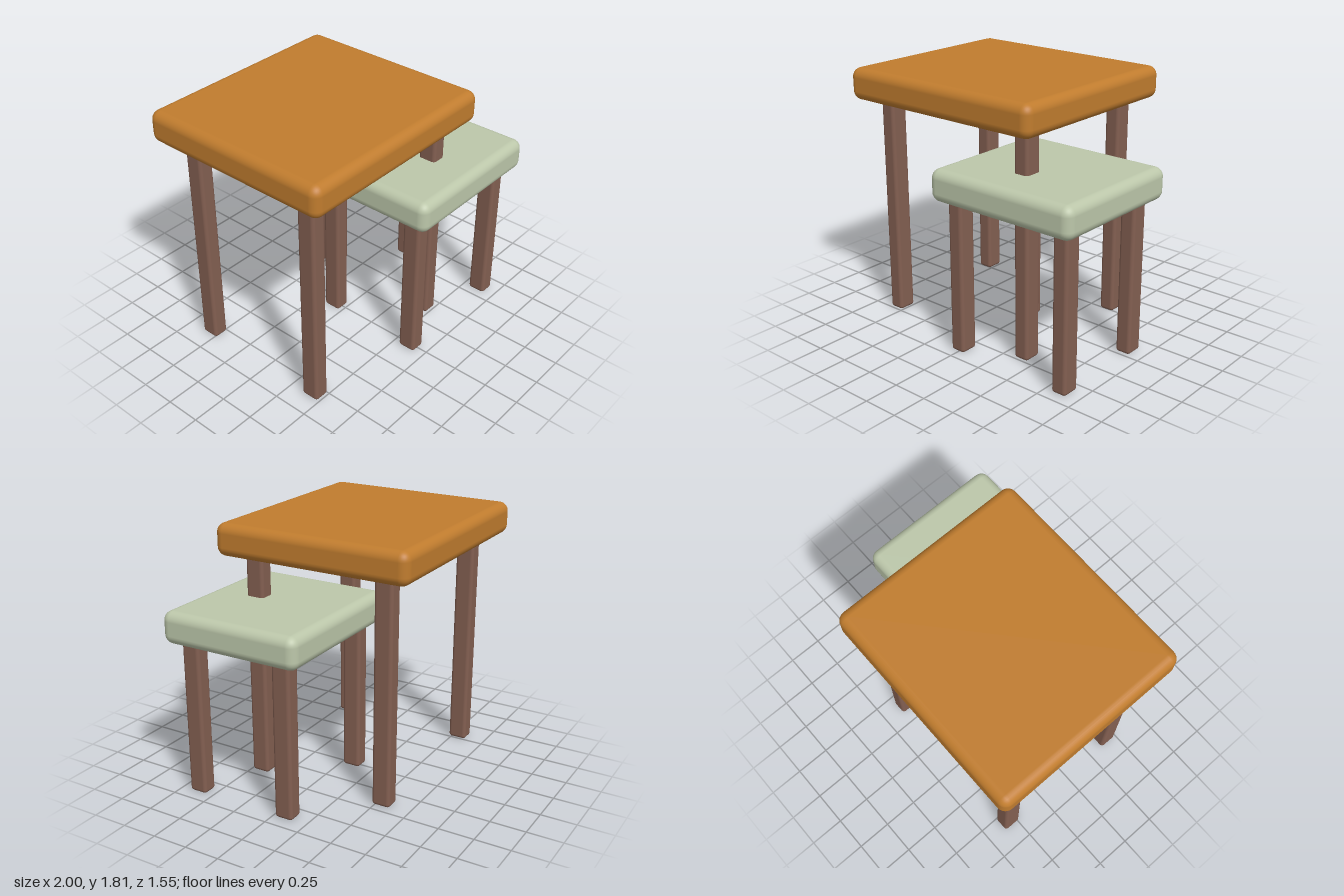
import * as THREE from 'three';
import { RoundedBoxGeometry } from 'three/addons/geometries/RoundedBoxGeometry.js';

const paint = (name, color) => {
  const m = new THREE.MeshStandardMaterial({ color });
  m.name = name;
  return m;
};

// Rounded block given by its [min, max] extents on each axis
function block(name, x, y, z, radius, material) {
  const geometry = new RoundedBoxGeometry(x[1] - x[0], y[1] - y[0], z[1] - z[0], 4, radius);
  const mesh = new THREE.Mesh(geometry, material);
  mesh.name = name;
  mesh.position.set((x[0] + x[1]) / 2, (y[0] + y[1]) / 2, (z[0] + z[1]) / 2);
  return mesh;
}

// Thick soft-edged top on four legs
function table(name, { x, y, z, legX, legZ, topMaterial, legMaterial }) {
  const group = new THREE.Group();
  group.name = name;
  group.add(block('tableTop', x, y, z, 0.065, topMaterial));
  const halfX = 0.056, halfZ = 0.066;
  legX.forEach((cx, i) => legZ.forEach((cz, j) => {
    const legName = (j ? 'front' : 'back') + (i ? 'Left' : 'Right') + 'Leg';
    group.add(block(legName, [cx - halfX, cx + halfX], [0, y[0] + 0.005],
      [cz - halfZ, cz + halfZ], 0.024, legMaterial));
  }));
  return group;
}

export function createModel() {
  const orange = paint('orange wood', 0xc07c2e);
  const sage = paint('sage green', 0xbcc7aa);
  const brown = paint('brown wood', 0x835f51);

  const model = new THREE.Group();
  model.name = 'nestingTables';
  model.add(
    table('largeTable', {
      x: [-1, 0.58], y: [1.583, 1.808], z: [-0.775, 0.645],
      legX: [-0.807, 0.394], legZ: [-0.547, 0.424],
      topMaterial: orange, legMaterial: brown,
    }),
    // The small table's top is pierced by the large table's front left leg
    table('smallTable', {
      x: [-0.137, 1], y: [1.08, 1.304], z: [-0.248, 0.775],
      legX: [-0.005, 0.861], legZ: [-0.085, 0.614],
      topMaterial: sage, legMaterial: brown,
    }),
  );
  return model;
}
